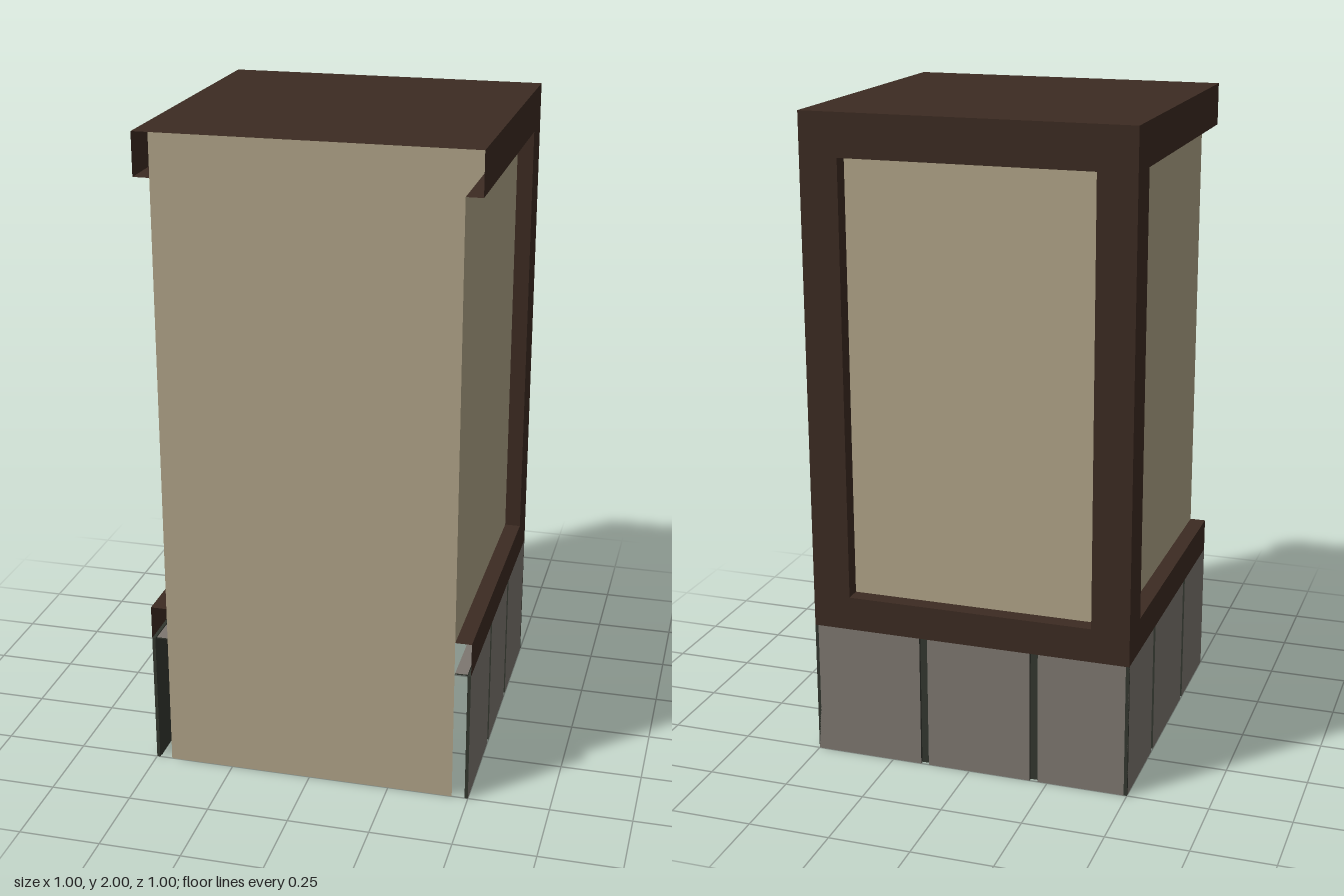
import * as THREE from 'three';

const mat = (name, color, side = THREE.DoubleSide) => {
  const m = new THREE.MeshStandardMaterial({ color, side });
  m.name = name;
  return m;
};

export function createModel() {
  const plaster = mat('plaster', 0xb0a488);
  const timber = mat('dark timber', 0x3c2b22);
  const stone = mat('grey stone', 0x7d7770);
  const grout = mat('dark grout', 0x33372f);

  const H = 2, R = 0.5, INSET = 0.45, BASE = 0.42, SILL = 0.525, HEAD = 1.87, JOINT = 0.025;

  // Flat sheet facing +z unless rotated
  function sheet(parent, name, material, w, h, x, y, z, rx = 0, ry = 0) {
    const m = new THREE.Mesh(new THREE.PlaneGeometry(w, h), material);
    m.name = name;
    m.position.set(x, y, z);
    m.rotation.set(rx, ry, 0);
    parent.add(m);
  }

  // Box with one stone face; the rest is grout
  function block(parent, name, stoneFace, w, h, d, x, y, z) {
    const mats = Array(6).fill(grout);
    mats[stoneFace] = stone;
    const m = new THREE.Mesh(new THREE.BoxGeometry(w, h, d), mats);
    m.name = name;
    m.position.set(x, y, z);
    parent.add(m);
  }

  // One framed wall facing local +z; u0..u1 is the opening, joints split the stones
  function wall(name, angle, u0, u1, joints) {
    const g = new THREE.Group();
    g.name = name;
    const w = u1 - u0, uc = (u0 + u1) / 2, h = HEAD - SILL, yc = (HEAD + SILL) / 2;
    const depth = R - INSET, zc = (R + INSET) / 2;

    sheet(g, 'plasterPanel', plaster, w, h, uc, yc, INSET);

    // Timber rails with their returns
    sheet(g, 'topRail', timber, 1, H - HEAD, 0, (H + HEAD) / 2, R);
    sheet(g, 'bottomRail', timber, 1, SILL - BASE, 0, (SILL + BASE) / 2, R);
    sheet(g, 'topReveal', timber, w, depth, uc, HEAD, zc, Math.PI / 2);
    sheet(g, 'sillReveal', timber, w, depth, uc, SILL, zc, -Math.PI / 2);

    // Corner posts where the opening stops short of the wall end
    for (const [s, u] of [[-1, u0], [1, u1]]) {
      const pw = R - Math.abs(u);
      if (pw < 0.001) continue;
      sheet(g, 'cornerPost', timber, pw, h, s * (R - pw / 2), yc, R);
      sheet(g, 'postReveal', timber, depth, h, u, yc, zc, 0, -s * Math.PI / 2);
    }

    // Stone base: recessed grout, facing slabs and top ledge
    sheet(g, 'groutBacking', grout, 0.98, BASE, 0, BASE / 2, 0.488);
    const ends = [-R, ...joints, R];
    for (let i = 0; i < 3; i++) {
      const a = ends[i] + (i > 0 ? JOINT / 2 : 0);
      const b = ends[i + 1] - (i < 2 ? JOINT / 2 : 0);
      block(g, 'stoneSlab', 4, b - a, BASE, 0.01, (a + b) / 2, BASE / 2, R - 0.005);
    }
    block(g, 'stoneLedge', 2, 0.98, 0.004, 0.038, 0, BASE - 0.003, 0.469);

    g.rotation.y = angle;
    return g;
  }

  const model = new THREE.Group();
  model.name = 'wallPillar';
  sheet(model, 'frontPanel', plaster, 2 * INSET, H, 0, H / 2, R);
  sheet(model, 'roofCap', timber, 1, 1, 0, H, 0, -Math.PI / 2);
  model.add(
    wall('rightWall', Math.PI / 2, -R, 0.38, [-0.155, 0.158]),
    wall('leftWall', -Math.PI / 2, -0.38, R, [-0.195, 0.2]),
    wall('backWall', Math.PI, -0.383, 0.383, [-0.145, 0.207]),
  );
  return model;
}
